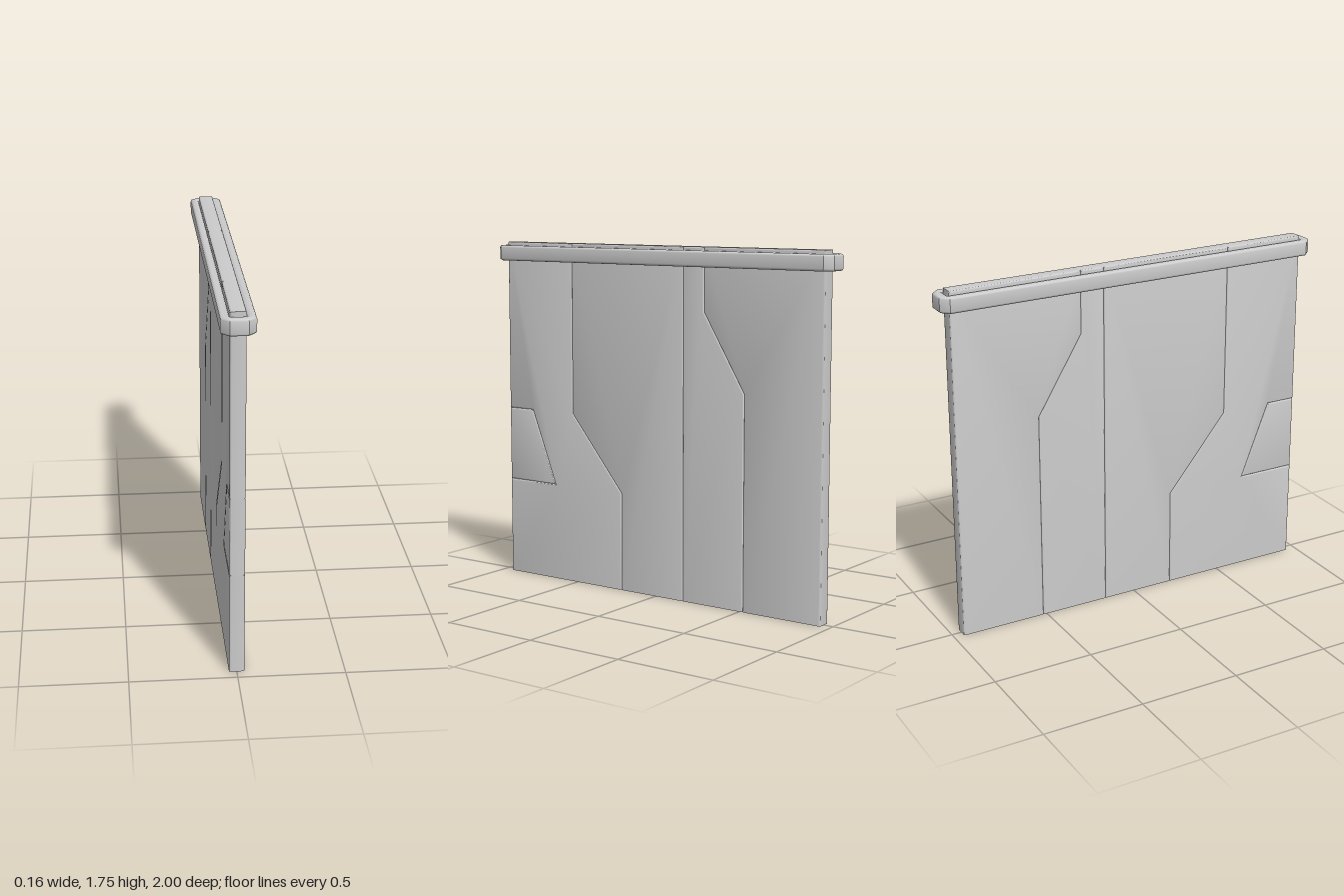
import * as THREE from 'three';
import { toCreasedNormals } from 'three/addons/utils/BufferGeometryUtils.js';

const material = new THREE.MeshStandardMaterial({ color: 0xcccccc });
const toVectors = (pts) => pts.map(([a, b]) => new THREE.Vector2(a, b));

// Extrudes a shape to a total depth, centred, with a rounded edge inside its outline
function beveled(shape, total, bevel) {
  const geo = new THREE.ExtrudeGeometry(shape, {
    depth: total - 2 * bevel, bevelEnabled: true, bevelSize: bevel,
    bevelThickness: bevel, bevelOffset: -bevel, bevelSegments: 3,
  });
  return geo.translate(0, 0, bevel - total / 2);
}

// Wall panel from a [z, y] outline; its bottom edge stays square on the ground
function panel(name, outline) {
  const bevel = 0.008;
  const geo = beveled(new THREE.Shape(toVectors(outline)), 0.072, bevel);
  const pos = geo.attributes.position;
  for (let i = 0; i < pos.count; i++) {
    if (pos.getY(i) < bevel + 1e-4) pos.setY(i, 0);
  }
  geo.rotateY(-Math.PI / 2);
  const mesh = new THREE.Mesh(toCreasedNormals(geo, 0.7), material);
  mesh.name = name;
  return mesh;
}

// Rectangle with cut corners
function octagon(w, l, c) {
  return toVectors([
    [w, -l + c], [w, l - c], [w - c, l], [-w + c, l],
    [-w, l - c], [-w, -l + c], [-w + c, -l], [w - c, -l],
  ]);
}

export function createModel() {
  const group = new THREE.Group();
  group.name = 'wallSegment';
  const top = 1.75, end = 0.95;

  // Seams between the panels, from bottom to top
  const frontSeam = [[0.215, 0], [0.215, 0.5], [0.527, 0.88], [0.527, top]];
  const midSeam = [[-0.163, 0], [-0.163, top]];
  const backSeam = [[-0.517, 0], [-0.517, 1.06], [-0.285, 1.44], [-0.285, top]];
  const notch = [[end, 0.5], [0.645, 0.5], [0.795, 0.88], [end, 0.88]];
  const down = (seam) => [...seam].reverse();

  group.add(
    panel('frontPanel', [...frontSeam, [end, top], ...down(notch), [end, 0]]),
    panel('notchPanel', notch),
    panel('middlePanel', [...midSeam, ...down(frontSeam)]),
    panel('narrowPanel', [...backSeam, ...down(midSeam)]),
    panel('backPanel', [[-end, 0], [-end, top], ...down(backSeam)]),
  );

  // Cap rail: a ring around the top of the panels
  const rail = new THREE.Shape(octagon(0.078, 1, 0.037));
  rail.holes.push(new THREE.Path(octagon(0.037, 0.957, 0.006).reverse()));
  const railGeo = beveled(rail, 0.078, 0.012).rotateX(-Math.PI / 2);
  const cap = new THREE.Mesh(toCreasedNormals(railGeo, 0.7), material);
  cap.name = 'capRail';
  cap.position.y = 1.694;
  group.add(cap);

  return group;
}
